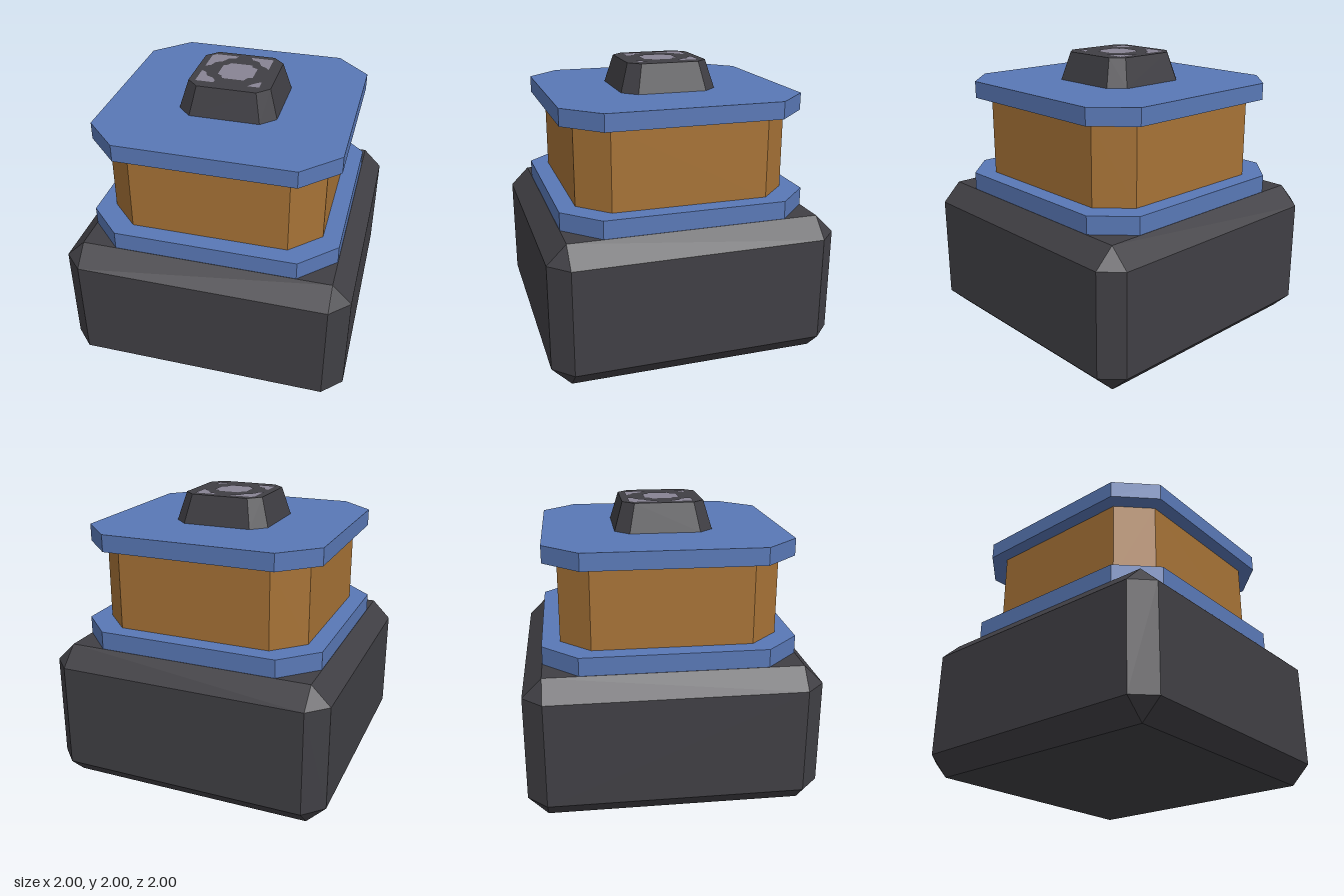
import * as THREE from 'three';
import { ConvexGeometry } from 'three/addons/geometries/ConvexGeometry.js';

const flat = (name, color, extra = {}) => {
  const m = new THREE.MeshStandardMaterial({ color, ...extra });
  m.name = name;
  return m;
};

// Corners of a square with clipped corners at height y
function clippedSquare(half, flatHalf, y) {
  const points = [];
  for (const sx of [-1, 1]) for (const sz of [-1, 1]) {
    points.push(new THREE.Vector3(sx * half, y, sz * flatHalf));
    points.push(new THREE.Vector3(sx * flatHalf, y, sz * half));
  }
  return points;
}

export function createModel() {
  const model = new THREE.Group();
  model.name = 'steppedBlock';

  const charcoal = flat('charcoal', 0x403f44);
  const blue = flat('blue', 0x5978b6);
  const amber = flat('amber', 0xa67236);
  const paleGrey = flat('paleGrey', 0x888393, { side: THREE.DoubleSide });

  const add = (name, geometry, material) => {
    const mesh = new THREE.Mesh(geometry, material);
    mesh.name = name;
    model.add(mesh);
    return mesh;
  };

  // Base block, bevelled along every edge
  const inner = 0.867, bevel = 0.133, corners = [];
  for (const sx of [-1, 1]) for (const sz of [-1, 1]) for (const top of [0, 1]) {
    const end = top, near = top ? 1 - bevel : bevel;
    corners.push(new THREE.Vector3(sx * inner, end, sz * inner));
    corners.push(new THREE.Vector3(sx, near, sz * inner));
    corners.push(new THREE.Vector3(sx * inner, near, sz));
  }
  add('base', new ConvexGeometry(corners), charcoal);

  // Stacked tiers: name, material, [bottom y, half, flat half], [top y, half, flat half]
  const tiers = [
    ['lowerTrim', blue, [1, 0.865, 0.628], [1.125, 0.865, 0.628]],
    ['body', amber, [1.125, 0.742, 0.54], [1.685, 0.742, 0.54]],
    ['upperTrim', blue, [1.685, 0.838, 0.6], [1.803, 0.838, 0.6]],
    ['topKnob', charcoal, [1.803, 0.34, 0.243], [2, 0.282, 0.203]],
  ];
  for (const [name, material, [y0, h0, f0], [y1, h1, f1]] of tiers) {
    const points = [...clippedSquare(h0, f0, y0), ...clippedSquare(h1, f1, y1)];
    add(name, new ConvexGeometry(points), material);
  }

  // Painted inlays on the knob, outlined in x and z
  const inlay = (name, outline) => {
    const shape = new THREE.Shape(outline.map(([x, z]) => new THREE.Vector2(x, -z)));
    const geometry = new THREE.ShapeGeometry(shape).rotateX(-Math.PI / 2);
    add(name, geometry, paleGrey).position.y = 2.002;
  };
  inlay('centreInlay', [
    [-0.07, -0.115], [0.08, -0.115], [0.09, -0.085], [0.13, -0.065], [0.13, 0.075], [0.095, 0.09],
    [0.08, 0.13], [-0.07, 0.13], [-0.085, 0.09], [-0.115, 0.075], [-0.115, -0.065], [-0.085, -0.085],
  ]);
  inlay('backRightInlay', [
    [-0.21, -0.235], [-0.045, -0.235], [-0.06, -0.2], [-0.11, -0.18], [-0.135, -0.13],
    [-0.18, -0.105], [-0.2, -0.05], [-0.235, -0.03], [-0.235, -0.21],
  ]);
  inlay('backLeftInlay', [
    [0.045, -0.235], [0.205, -0.235], [0.205, -0.07], [0.18, -0.1], [0.14, -0.125], [0.115, -0.18], [0.065, -0.2],
  ]);
  inlay('frontRightInlay', [
    [-0.235, 0.045], [-0.2, 0.065], [-0.18, 0.115], [-0.13, 0.14], [-0.105, 0.18], [-0.11, 0.205], [-0.235, 0.205],
  ]);
  inlay('frontLeftInlay', [
    [0.205, 0.125], [0.205, 0.205], [0.125, 0.205], [0.14, 0.18], [0.18, 0.14],
  ]);

  return model;
}
